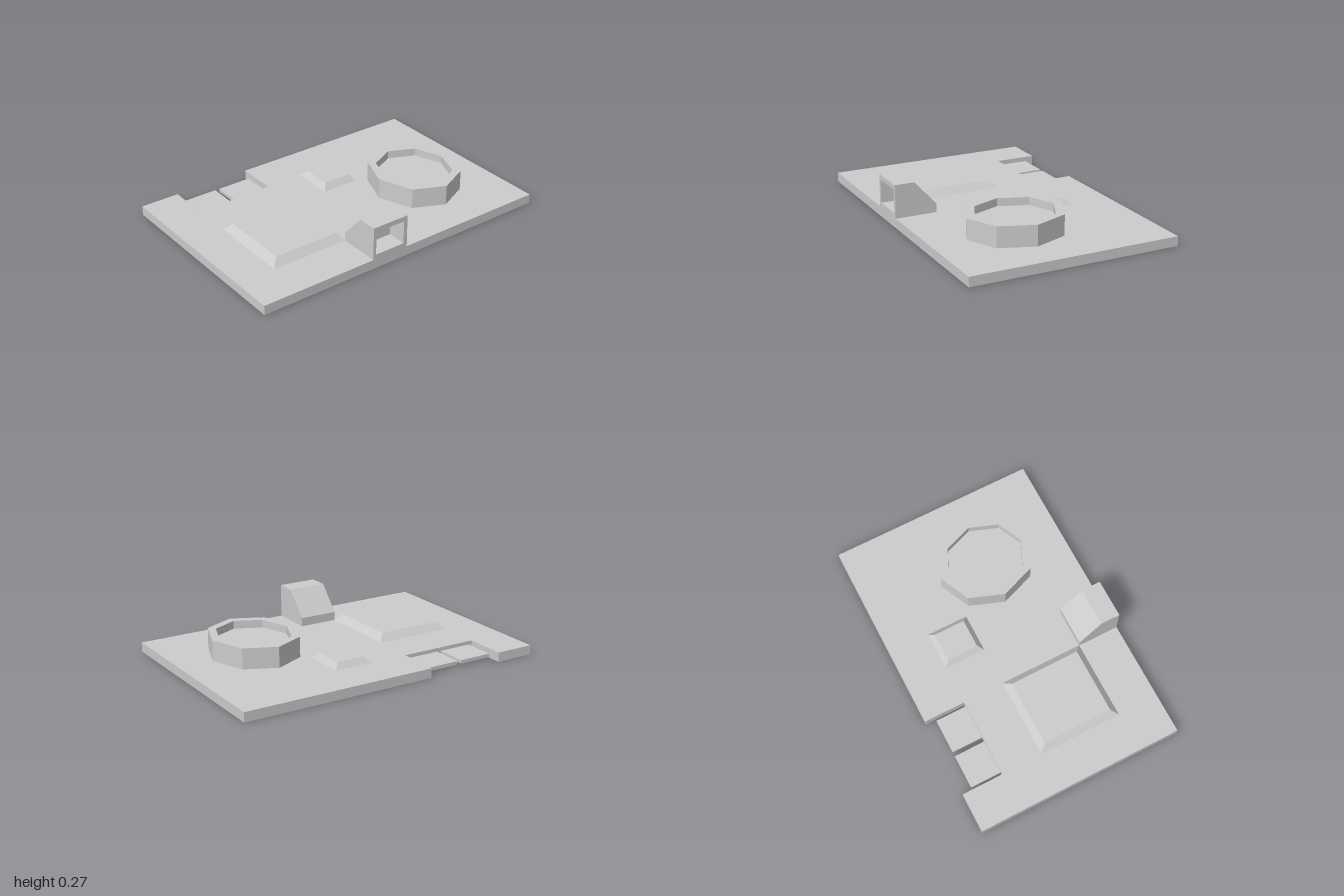
import * as THREE from 'three';

const material = new THREE.MeshStandardMaterial({ color: 0xcccccc, flatShading: true });
const BOARD_TOP = 0.06;

function polygon(points) {
  return new THREE.Shape(points.map(([a, b]) => new THREE.Vector2(a, b)));
}

function extrude(shape, depth) {
  return new THREE.ExtrudeGeometry(shape, { depth, bevelEnabled: false });
}

function boxBetween(x0, x1, y0, y1, z0, z1) {
  return new THREE.BoxGeometry(x1 - x0, y1 - y0, z1 - z0)
    .translate((x0 + x1) / 2, (y0 + y1) / 2, (z0 + z1) / 2);
}

// Box whose top face is pulled in on all sides
function chipGeometry(x0, x1, z0, z1, top, inset) {
  const geometry = boxBetween(x0, x1, BOARD_TOP, top, z0, z1);
  const p = geometry.attributes.position;
  const cx = (x0 + x1) / 2, cz = (z0 + z1) / 2;
  for (let i = 0; i < p.count; i++) {
    if (p.getY(i) < top - 0.001) continue;
    p.setX(i, p.getX(i) - Math.sign(p.getX(i) - cx) * inset);
    p.setZ(i, p.getZ(i) - Math.sign(p.getZ(i) - cz) * inset);
  }
  geometry.computeVertexNormals();
  return geometry;
}

export function createModel() {
  const group = new THREE.Group();
  const add = (name, geometry, parent = group) => {
    const mesh = new THREE.Mesh(geometry, material);
    mesh.name = name;
    parent.add(mesh);
    return mesh;
  };

  // Board with a notch in one long side (outline is x, -z)
  const outline = polygon([
    [-0.665, -1], [0.665, -1], [0.665, 1], [-0.665, 1],
    [-0.665, -0.245], [-0.4, -0.245], [-0.4, -0.75], [-0.665, -0.75],
  ]);
  add('board', extrude(outline, BOARD_TOP).rotateX(-Math.PI / 2));

  // Thin contact tabs inside the notch
  [[0.265, 0.485], [0.515, 0.73]].forEach(([z0, z1], i) => {
    add(`contactTab${i + 1}`, boxBetween(-0.6, -0.4, 0.015, 0.037, z0, z1));
  });

  // Bevelled chips
  add('largeChip', chipGeometry(-0.135, 0.4, 0.245, 0.75, 0.105, 0.042));
  add('smallChip', chipGeometry(-0.4, -0.135, -0.25, 0, 0.098, 0.033));

  // Octagonal holder with a recessed floor
  const holderProfile = [[0.31, BOARD_TOP], [0.31, 0.19], [0.255, 0.19], [0.255, 0.14], [0, 0.14]]
    .map(([r, y]) => new THREE.Vector2(r, y));
  const holder = add('octagonalHolder', new THREE.LatheGeometry(holderProfile, 8));
  holder.position.set(0.13, 0, -0.502);
  holder.scale.z = 0.895;

  // Connector: sloped rear body and a hollow socket opening to the side
  const connector = new THREE.Group();
  connector.name = 'connector';
  group.add(connector);
  const slope = polygon([[0.4, BOARD_TOP], [0.54, BOARD_TOP], [0.54, 0.27], [0.4, 0.115]]);
  add('connectorBody', extrude(slope, 0.247), connector);

  const socket = polygon([[-0.247, BOARD_TOP], [0, BOARD_TOP], [0, 0.27], [-0.247, 0.27]]);
  socket.holes.push(polygon([[-0.228, 0.09], [-0.228, 0.238], [-0.025, 0.238], [-0.025, 0.09]]));
  add('connectorSocket', extrude(socket, 0.125).rotateY(Math.PI / 2).translate(0.54, 0, 0), connector);

  return group;
}
